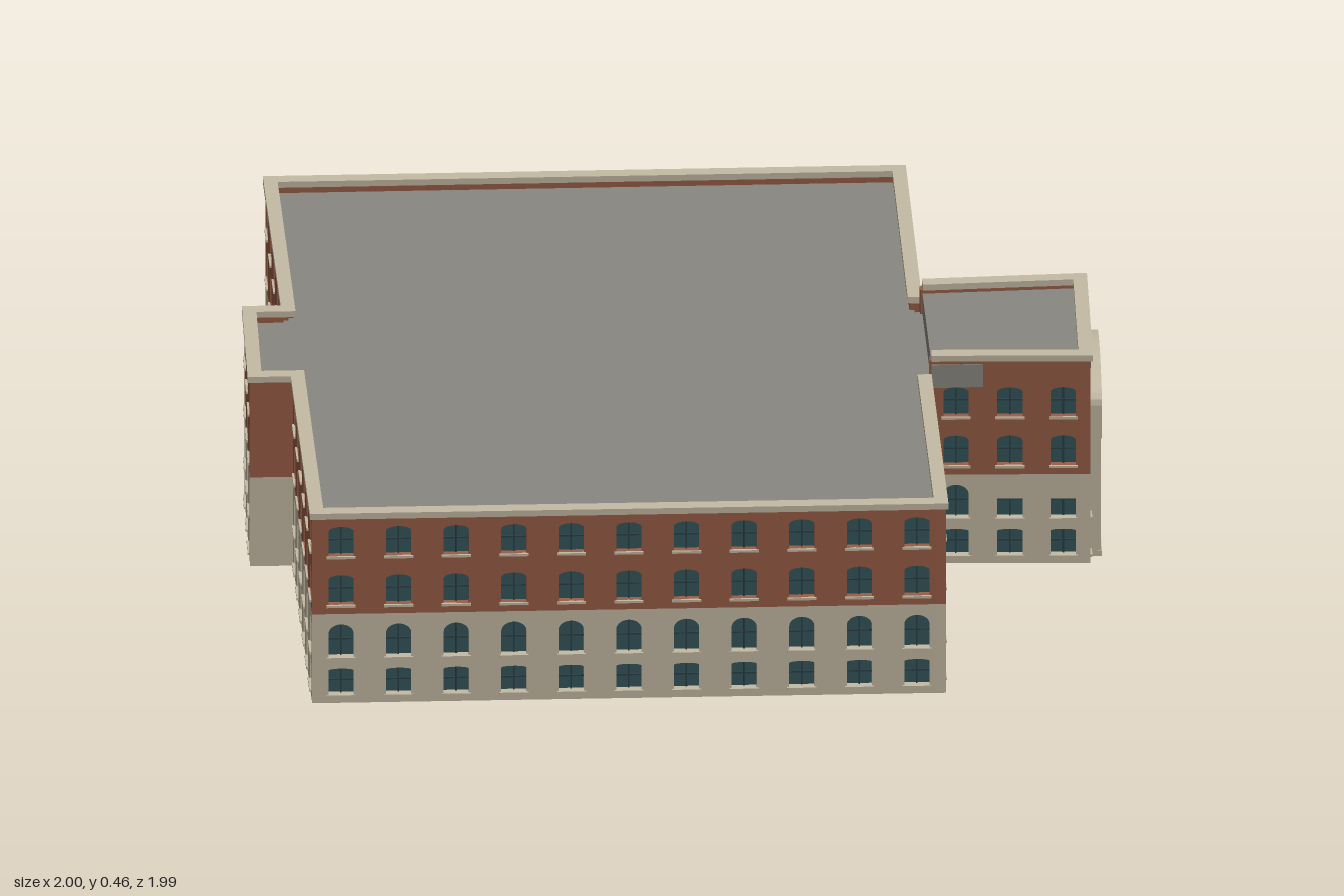
import * as THREE from 'three';
import { mergeGeometries } from 'three/addons/utils/BufferGeometryUtils.js';

const colour = (name, hex) => {
  const m = new THREE.MeshStandardMaterial({ color: hex });
  m.name = name;
  return m;
};
const brick = colour('brick', 0x995e47);
const stone = colour('stone', 0xc6bca5);
const roofGrey = colour('roofGrey', 0x8a8882);
const glass = colour('glass', 0x34555c);
const frame = colour('windowFrame', 0x2c4046);

const BAND = 0.195, MAIN_TOP = 0.418, TOWER_TOP = 0.458, CORNICE = 0.013, THICK = 0.02;
// window rows: sill height, top height, arch rise
const ROWS = [[0.018, 0.075, 0.004], [0.1, 0.172, 0.02], [0.215, 0.28, 0.01], [0.322, 0.386, 0.01]];

// plan corners (x, z), walking with the outside on the right-hand side
const PLAN = [
  [-1, 0], [-0.211, 0.992],                                       // west, south
  [0.25, 0.612], [0.441, 0.869], [0.741, 0.634], [0.525, 0.386],  // entrance tower
  [0.997, 0], [0.2, -0.997],                                      // east, north
  [-0.259, -0.616], [-0.307, -0.676], [-0.564, -0.473], [-0.511, -0.406], // rear bay
].map(([x, z]) => new THREE.Vector2(x, z));

// shift a path inward with mitred corners
function inset(path, d, closed) {
  const n = path.length;
  const normal = (a, b) => new THREE.Vector2(b.y - a.y, a.x - b.x).normalize();
  return path.map((p, i) => {
    const hasPrev = closed || i > 0, hasNext = closed || i < n - 1;
    const next = hasNext ? normal(p, path[(i + 1) % n]) : null;
    const prev = hasPrev ? normal(path[(i + n - 1) % n], p) : next;
    const a = prev, b = next || prev;
    return p.clone().addScaledVector(a.clone().add(b), d / (1 + a.dot(b)));
  });
}

function add(parent, name, geometry, material) {
  const mesh = new THREE.Mesh(geometry, material);
  mesh.name = name;
  parent.add(mesh);
  return mesh;
}

function box(w, h, d, x, y, z) {
  return new THREE.BoxGeometry(w, h, d).translate(x, y, z);
}

// flat slab from a plan outline
function slab(parent, name, points, top, height, material) {
  const g = new THREE.ExtrudeGeometry(new THREE.Shape(points), { depth: height, bevelEnabled: false });
  add(parent, name, g.rotateX(Math.PI / 2).translate(0, top, 0), material);
}

function cornice(parent, name, path, top) {
  const inner = inset(path, 0.028, false).reverse();
  slab(parent, name, [...path, ...inner], top, CORNICE, stone);
}

function archOutline(target, x, w, y0, y1, rise) {
  target.moveTo(x - w / 2, y0);
  target.lineTo(x + w / 2, y0);
  target.lineTo(x + w / 2, y1 - rise);
  target.absellipse(x, y1 - rise, w / 2, rise, 0, Math.PI, false, 0);
  target.closePath();
  return target;
}

const extrude = (shape, depth, z) =>
  new THREE.ExtrudeGeometry(shape, { depth, bevelEnabled: false, curveSegments: 8 }).translate(0, 0, z);

// one storey band with window openings
function wallBand(len, y0, y1, rows, columns, w) {
  const s = new THREE.Shape([[0, y0], [len, y0], [len, y1], [0, y1]].map(p => new THREE.Vector2(...p)));
  for (const [a, b, rise] of rows)
    for (const x of columns) s.holes.push(archOutline(new THREE.Path(), x, w, a, b, rise));
  return extrude(s, THICK, -THICK);
}

// a wall from p to q; local z points outward
function wall(parent, name, p, q, top, { count = 0, columns, rows = ROWS, w = 0.05, blinds = [] }) {
  const g = new THREE.Group();
  g.name = name;
  const len = p.distanceTo(q);
  g.position.set(p.x, 0, p.y);
  g.rotation.y = Math.atan2(p.y - q.y, q.x - p.x);
  parent.add(g);
  const cols = columns ? columns.map(c => len / 2 + c)
    : Array.from({ length: count }, (_, i) => (i + 0.5) * len / count);
  const low = rows.filter(r => r[0] < BAND), high = rows.filter(r => r[0] > BAND);
  add(g, 'stoneBase', wallBand(len, 0, BAND, low, cols, w), stone);
  add(g, 'brickUpper', wallBand(len, BAND, top - CORNICE, high, cols, w), brick);
  // glazing sheet behind the openings
  add(g, 'windowGlass', new THREE.PlaneGeometry(len - 0.03, 0.375).translate(len / 2, 0.2, -0.014), glass);
  const sills = [], rails = [];
  for (const [a, b] of rows) for (const x of cols) {
    sills.push(box(w + 0.008, 0.005, 0.006, x, a - 0.0025, 0.001));
    rails.push(box(w, 0.003, 0.004, x, (a + b) / 2, -0.012), box(0.003, b - a, 0.004, x, (a + b) / 2, -0.012));
  }
  add(g, 'windowSills', mergeGeometries(sills), stone);
  add(g, 'windowBars', mergeGeometries(rails), frame);
  // half drawn blinds in the arched row
  for (const i of blinds) {
    const [, b, rise] = ROWS[1];
    add(g, 'blind', extrude(archOutline(new THREE.Shape(), cols[i], w, b - 0.034, b, rise), 0.003, -0.011), stone);
  }
  return { g, len };
}

// tall entrance with pilasters, arched hood and fanlight
function portal({ g, len }) {
  const p = new THREE.Group();
  p.name = 'entrance';
  p.position.x = len / 2;
  g.add(p);
  add(p, 'entranceGlass', box(0.25, 0.245, 0.006, 0, 0.135, 0.003), glass);
  for (const s of [-1, 1]) {
    add(p, 'pilaster', box(0.02, 0.26, 0.022, s * 0.143, 0.13, 0.011), stone);
    add(p, 'innerPilaster', box(0.012, 0.26, 0.014, s * 0.126, 0.13, 0.007), stone);
  }
  add(p, 'threshold', box(0.31, 0.012, 0.024, 0, 0.006, 0.012), stone);
  add(p, 'archedHood', extrude(archOutline(new THREE.Shape(), 0, 0.306, 0.257, 0.39, 0.06), 0.024, 0), stone);
  add(p, 'fanlight', extrude(archOutline(new THREE.Shape(), 0, 0.19, 0.34, 0.422, 0.075), 0.004, 0), glass);
}

export function createModel() {
  const model = new THREE.Group();
  model.name = 'building';

  const c = inset(PLAN, 0.005, true);
  const walls = [
    ['westWall', { count: 11 }],
    ['frontWallWest', { count: 5, blinds: [3, 4] }],
    ['towerWestSide', { count: 3, blinds: [1, 2] }],
    ['towerFront', { columns: [-0.17, 0.17], rows: ROWS.slice(0, 2), w: 0.022 }],
    ['towerEastSide', { count: 3 }],
    ['frontWallEast', { count: 5 }],
    ['eastWall', { count: 11, blinds: [0, 7] }],
    ['rearWallEast', { count: 5 }],
    ['bayEastSide', { count: 0, rows: [] }],
    ['bayRear', { count: 3 }],
    ['bayWestSide', { count: 0, rows: [] }],
    ['rearWallWest', { count: 6, blinds: [1] }],
  ];
  walls.forEach(([name, options], i) => {
    const tower = i >= 2 && i <= 4;
    // plain return walls have no sills to merge
    if (options.rows && !options.rows.length) {
      const p = c[i], q = c[(i + 1) % c.length], len = p.distanceTo(q);
      const g = new THREE.Group();
      g.name = name;
      g.position.set(p.x, 0, p.y);
      g.rotation.y = Math.atan2(p.y - q.y, q.x - p.x);
      add(g, 'stoneBase', wallBand(len, 0, BAND, [], [], 0), stone);
      add(g, 'brickUpper', wallBand(len, BAND, MAIN_TOP - CORNICE, [], [], 0), brick);
      model.add(g);
      return;
    }
    const built = wall(model, name, c[i], c[(i + 1) % c.length], tower ? TOWER_TOP : MAIN_TOP, options);
    if (name === 'towerFront') portal(built);
  });

  // floor, roofs and cornices
  const inner = inset(PLAN, 0.015, true);
  slab(model, 'floor', inset(PLAN, 0.006, true), 0.008, 0.008, stone);
  slab(model, 'mainRoof', inner, 0.392, 0.01, roofGrey);
  slab(model, 'towerRoof', [PLAN[2], inner[3], inner[4], PLAN[5]], 0.437, 0.05, roofGrey);
  cornice(model, 'mainCornice', [...PLAN.slice(5), ...PLAN.slice(0, 3)], MAIN_TOP);
  cornice(model, 'towerCornice', PLAN.slice(2, 6), TOWER_TOP);
  return model;
}
